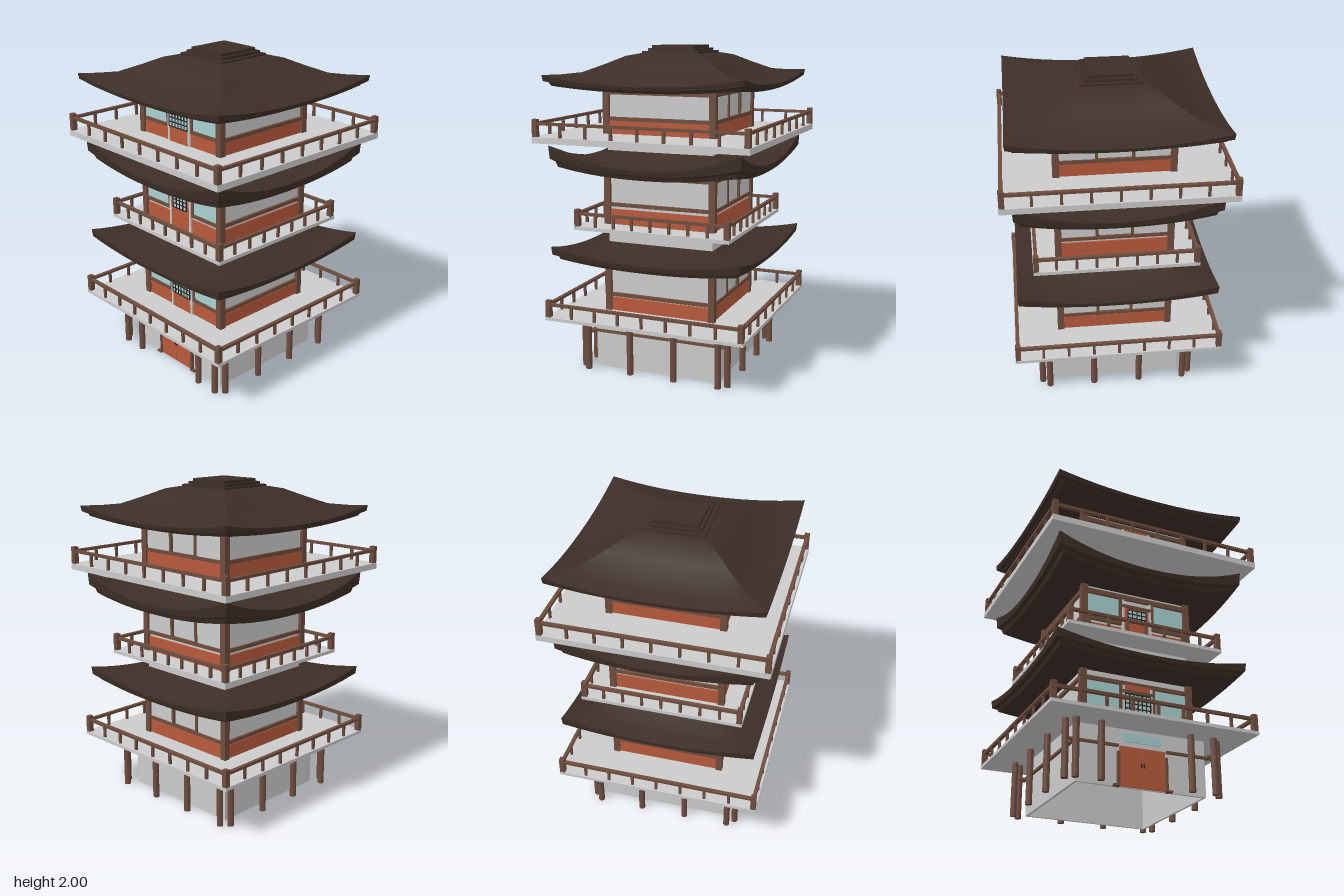
import * as THREE from 'three';
import { toCreasedNormals } from 'three/addons/utils/BufferGeometryUtils.js';

const mat = (color) => new THREE.MeshStandardMaterial({ color });
const GREY = mat(0xcccccc), WOOD = mat(0x6e4d3e), RED = mat(0xb85a3c);
const ROOF = mat(0x3d2e27), GLASS = mat(0xa9d0d0), DARK = mat(0x2b2522);

function add(parent, name, geometry, material, x = 0, y = 0, z = 0) {
  const mesh = new THREE.Mesh(geometry, material);
  mesh.name = name;
  mesh.position.set(x, y, z);
  parent.add(mesh);
  return mesh;
}

// Box given by its x range, y range, middle z and depth
function box(parent, name, material, x0, x1, y0, y1, z, depth) {
  return add(parent, name, new THREE.BoxGeometry(x1 - x0, y1 - y0, depth), material,
    (x0 + x1) / 2, (y0 + y1) / 2, z);
}

function group(parent, name, turn = 0) {
  const g = new THREE.Group();
  g.name = name;
  g.rotation.y = turn * Math.PI / 2;
  parent.add(g);
  return g;
}

// Square slab or wall tube with a square hole
function squareRing(parent, name, material, outer, inner, y0, y1) {
  const square = (Kind, r) => new Kind([[-r, -r], [r, -r], [r, r], [-r, r]].map((p) => new THREE.Vector2(...p)));
  const shape = square(THREE.Shape, outer);
  shape.holes.push(square(THREE.Path, inner));
  const geo = new THREE.ExtrudeGeometry(shape, { depth: y1 - y0, bevelEnabled: false });
  geo.rotateX(-Math.PI / 2);
  return add(parent, name, geo, material, 0, y0, 0);
}

// Loft square rings [half width, height, corner lift] into a curved hip roof
function roof(parent, name, rings) {
  const n = 16, count = n * 4, pos = [], index = [];
  for (const [r, y, lift] of rings) {
    for (let side = 0; side < 4; side++) {
      for (let i = 0; i < n; i++) {
        const u = -1 + 2 * i / n;
        let x = u * r, z = r;
        for (let t = 0; t < side; t++) [x, z] = [z, -x];
        pos.push(x, y + lift * Math.abs(u) ** 2.2, z);
      }
    }
  }
  for (let k = 0; k < rings.length - 1; k++) {
    for (let i = 0; i < count; i++) {
      const a = k * count + i, b = k * count + (i + 1) % count;
      index.push(a, a + count, b, a + count, b + count, b);
    }
  }
  const geo = new THREE.BufferGeometry();
  geo.setAttribute('position', new THREE.Float32BufferAttribute(pos, 3));
  geo.setIndex(index);
  return add(parent, name, toCreasedNormals(geo, 0.5), ROOF);
}

// Balcony slab with a railing on all sides
function balcony(parent, half, y0, y1) {
  const g = group(parent, 'balcony');
  squareRing(g, 'balconyFloor', GREY, half, 0.3, y0, y1);
  const r = half - 0.018;
  for (let s = 0; s < 4; s++) {
    const side = group(g, 'railing', s);
    box(side, 'cornerPost', WOOD, r - 0.016, r + 0.016, y1, y1 + 0.105, r, 0.032);
    box(side, 'handrail', WOOD, -r, r, y1 + 0.07, y1 + 0.087, r, 0.022);
    for (let i = 1; i < 8; i++) {
      const x = r * (-1 + i / 4);
      box(side, 'railPost', WOOD, x - 0.008, x + 0.008, y1, y1 + 0.07, r, 0.014);
    }
  }
}

// Window or door lattice
function lattice(parent, half, y0, y1, z, columns, rows) {
  box(parent, 'latticeGlass', GLASS, -half, half, y0, y1, z, 0.01);
  for (let i = 0; i <= columns; i++) {
    const x = half * (-1 + 2 * i / columns);
    box(parent, 'latticeBar', DARK, x - 0.003, x + 0.003, y0, y1, z + 0.004, 0.01);
  }
  for (let i = 0; i <= rows; i++) {
    const y = y0 + (y1 - y0) * i / rows;
    box(parent, 'latticeBar', DARK, -half, half, y - 0.003, y + 0.003, z + 0.004, 0.01);
  }
}

// One storey: floor height, red panel top, sill, window top, beam top, post top, door data
function storey(parent, { y, red, sill, win, beam, top, door }) {
  const g = group(parent, 'storey');
  const w = 0.345;
  for (let s = 0; s < 4; s++) {
    const side = group(g, ['frontWall', 'leftWall', 'backWall', 'rightWall'][s], s);
    box(side, 'cornerPost', WOOD, 0.323, 0.363, y, top, 0.343, 0.04);
    box(side, 'lowerPanel', RED, -0.325, 0.325, y, red, w, 0.012);
    box(side, 'sillBeam', WOOD, -0.325, 0.325, sill - 0.022, sill, w + 0.003, 0.02);
    box(side, 'topBeam', WOOD, -0.325, 0.325, win + 0.005, beam, w + 0.003, 0.02);
    if (s % 2) continue;
    // Framed windows either side of the centre bay
    for (const m of [-1, 1]) {
      const mid = m * 0.217;
      box(side, 'window', s ? GREY : GLASS, mid - 0.103, mid + 0.103, sill, win, w, 0.01);
      box(side, 'windowFrame', WOOD, m * 0.107 - 0.009, m * 0.107 + 0.009, sill, win + 0.005, w + 0.003, 0.02);
      if (!s) box(side, 'jamb', GREY, m * 0.09 - 0.008, m * 0.09 + 0.008, y, win, w + 0.008, 0.02);
    }
    if (s) continue;
    // Centre door with lattice and lintel
    const { half, l0, l1, lintel, head } = door;
    box(side, 'door', RED, -half, half, y, head, w + 0.005, 0.022);
    box(side, 'doorLintel', WOOD, -0.098, 0.098, lintel, lintel + 0.018, w + 0.008, 0.03);
    lattice(side, half - 0.015 + door.wide, l0, l1, w + 0.014, door.columns, door.rows);
  }
}

function groundFloor(parent) {
  const g = group(parent, 'groundFloor');
  squareRing(g, 'groundWalls', GREY, 0.405, 0.39, 0, 0.345);
  const postGeo = new THREE.CylinderGeometry(0.02, 0.02, 0.34, 12);
  for (let s = 0; s < 4; s++) {
    const side = group(g, 'colonnade', s);
    for (const x of [0.43, s ? 0.145 : 0.28]) {
      for (const m of [-1, 1]) add(side, 'column', postGeo, WOOD, m * x, 0.17, 0.475);
    }
    // Wall rail, broken by the entrance at the front
    const spans = s ? [[-0.45, 0.45]] : [[-0.45, -0.15], [0.15, 0.45]];
    for (const [a, b] of spans) box(side, 'wallRail', WOOD, a, b, 0.228, 0.243, 0.412, 0.018);
  }
  // Entrance
  const e = group(g, 'entrance');
  for (const m of [-1, 1]) {
    box(e, 'doorLeaf', RED, m * 0.071 - 0.07, m * 0.071 + 0.07, 0.003, 0.235, 0.4, 0.03);
    box(e, 'doorJamb', WOOD, m * 0.149 - 0.008, m * 0.149 + 0.008, 0, 0.2, 0.405, 0.035);
    box(e, 'jambFoot', WOOD, m * 0.165 - 0.018, m * 0.165 + 0.018, 0, 0.01, 0.408, 0.04);
    box(e, 'doorHandle', DARK, m * 0.008 - 0.003, m * 0.008 + 0.003, 0.12, 0.145, 0.418, 0.008);
  }
  box(e, 'doorHeader', GREY, -0.15, 0.15, 0.235, 0.258, 0.405, 0.02);
  box(e, 'transomWindow', GLASS, -0.12, 0.12, 0.265, 0.315, 0.4, 0.022);
}

export function createModel() {
  const model = new THREE.Group();
  model.name = 'pagoda';

  groundFloor(model);
  squareRing(model, 'coreWalls', GREY, 0.342, 0.325, 0.345, 1.78);

  balcony(model, 0.64, 0.34, 0.36);
  balcony(model, 0.502, 0.893, 0.915);
  balcony(model, 0.675, 1.438, 1.475);

  storey(model, {
    y: 0.36, red: 0.445, sill: 0.475, win: 0.632, beam: 0.66, top: 0.72,
    door: { half: 0.083, l0: 0.462, l1: 0.58, lintel: 0.585, head: 0.64, wide: 0.013, columns: 6, rows: 4 },
  });
  storey(model, {
    y: 0.915, red: 1.01, sill: 1.05, win: 1.2, beam: 1.235, top: 1.27,
    door: { half: 0.08, l0: 1.055, l1: 1.135, lintel: 1.148, head: 1.15, wide: -0.005, columns: 4, rows: 3 },
  });
  storey(model, {
    y: 1.475, red: 1.555, sill: 1.578, win: 1.708, beam: 1.74, top: 1.78,
    door: { half: 0.083, l0: 1.57, l1: 1.655, lintel: 1.662, head: 1.71, wide: 0.013, columns: 6, rows: 3 },
  });

  roof(model, 'lowerRoof', [[0.33, 0.805, 0], [0.42, 0.77, 0.005], [0.52, 0.745, 0.03], [0.605, 0.735, 0.065],
    [0.6, 0.71, 0.04], [0.575, 0.705, 0.04], [0.565, 0.683, 0.035], [0.45, 0.685, 0.01], [0.33, 0.7, 0]]);
  roof(model, 'middleRoof', [[0.33, 1.378, 0], [0.42, 1.335, 0.01], [0.52, 1.31, 0.06], [0.605, 1.3, 0.12],
    [0.6, 1.27, 0.07], [0.575, 1.262, 0.06], [0.565, 1.238, 0.05], [0.45, 1.24, 0.015], [0.33, 1.255, 0]]);
  roof(model, 'topRoof', [[0.16, 1.957, 0], [0.19, 1.953, 0], [0.255, 1.935, 0.004], [0.35, 1.882, 0.01],
    [0.45, 1.827, 0.02], [0.54, 1.795, 0.042], [0.625, 1.78, 0.055], [0.62, 1.76, 0.04], [0.595, 1.756, 0.036],
    [0.585, 1.742, 0.03], [0.45, 1.745, 0.01], [0.33, 1.758, 0]]);

  // Stepped roof cap
  [[0.182, 1.94, 1.965], [0.155, 1.96, 1.982], [0.135, 1.975, 2]].forEach(([r, y0, y1]) =>
    box(model, 'roofCap', ROOF, -r, r, y0, y1, 0, 2 * r));

  return model;
}
